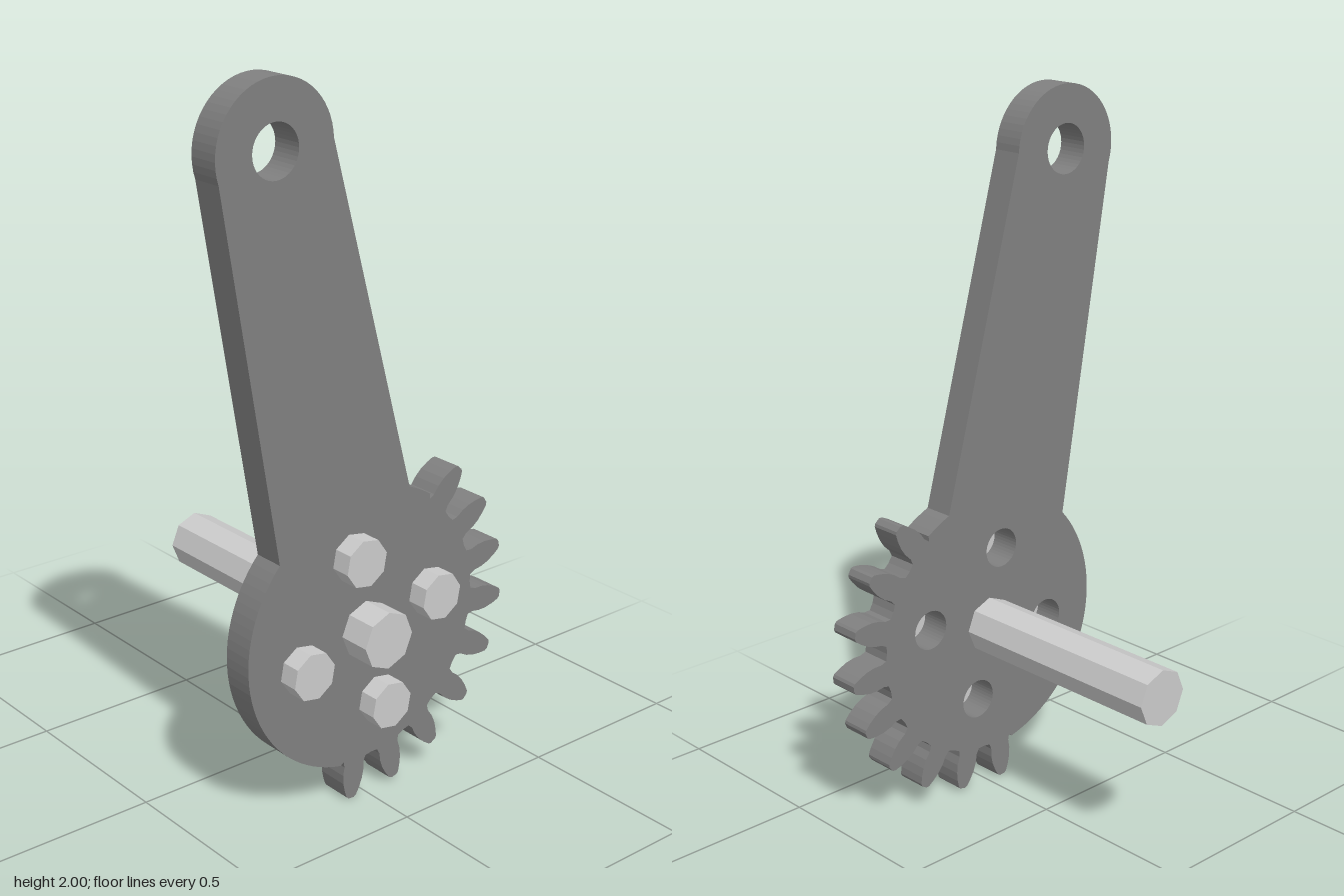
import * as THREE from 'three';

const RAD = Math.PI / 180;
const HUB = new THREE.Vector2(-0.01, 0.5);   // gear centre
const EYE = new THREE.Vector2(-0.31, 1.823); // arm end centre
const BACK = 0.243, FRONT = 0.333;           // plate faces
const ROOT = 0.393;

const polar = (c, r, a) => new THREE.Vector2(c.x + r * Math.cos(a), c.y + r * Math.sin(a));

// points along an arc, angles in degrees
function arc(c, r, from, to, steps) {
  const pts = [];
  for (let i = 0; i <= steps; i++) pts.push(polar(c, r, (from + (to - from) * i / steps) * RAD));
  return pts;
}

function circleHole(c, r) {
  const hole = new THREE.Path();
  hole.absarc(c.x, c.y, r, 0, Math.PI * 2, true);
  return hole;
}

// one gear tooth: [radius, half width] up one flank and down the other
function tooth(deg) {
  const flank = [[0.383, 0.039], [0.4, 0.034], [0.425, 0.036], [0.45, 0.033], [0.475, 0.025], [0.494, 0.016], [0.499, 0.009]];
  const up = flank.map(([r, w]) => polar(HUB, r, deg * RAD - w / r));
  const down = flank.map(([r, w]) => polar(HUB, r, deg * RAD + w / r)).reverse();
  return [...up, ...down];
}

// octagonal prism along z
function octagon(name, c, r, z0, z1, turn, material) {
  const geo = new THREE.CylinderGeometry(r, r, z1 - z0, 8);
  geo.rotateX(Math.PI / 2);
  geo.rotateZ(turn);
  geo.translate(c.x, c.y, (z0 + z1) / 2);
  const mesh = new THREE.Mesh(geo, material);
  mesh.name = name;
  return mesh;
}

export function createModel() {
  const model = new THREE.Group();
  model.name = 'gearLever';
  const steel = new THREE.MeshStandardMaterial({ color: 0xcccccc, flatShading: true });
  const dark = new THREE.MeshStandardMaterial({ color: 0x808080 });

  // lever plate outline: rounded arm end, plain side of the disc, toothed side
  const outline = [...arc(EYE, 0.177, 3, 199, 32), ...arc(HUB, ROOT, 137.6, 258, 32)];
  for (let i = 0; i < 9; i++) {
    const deg = -95 + i * 18;
    outline.push(...tooth(deg));
    if (i < 8) outline.push(polar(HUB, 0.38, (deg + 9) * RAD));
  }
  outline.push(...arc(HUB, 0.396, 56, 68.3, 4));

  const shape = new THREE.Shape(outline);
  shape.holes.push(circleHole(EYE, 0.07));

  // four bolts around the shaft, heads in front of open holes
  for (let i = 0; i < 4; i++) {
    const turn = (12.2 + 90 * i) * RAD;
    const c = polar(HUB, 0.226, turn);
    shape.holes.push(circleHole(c, 0.057));
    model.add(octagon('bolt' + (i + 1), c, 0.068, FRONT, 0.39, turn, steel));
  }

  const plateGeo = new THREE.ExtrudeGeometry(shape, { depth: FRONT - BACK, bevelEnabled: false, curveSegments: 20 });
  plateGeo.translate(0, 0, BACK);
  const plate = new THREE.Mesh(plateGeo, dark);
  plate.name = 'leverPlate';
  model.add(plate);

  // shaft through the gear centre
  model.add(octagon('shaft', HUB, 0.081, -0.428, 0.426, 0, steel));
  return model;
}
